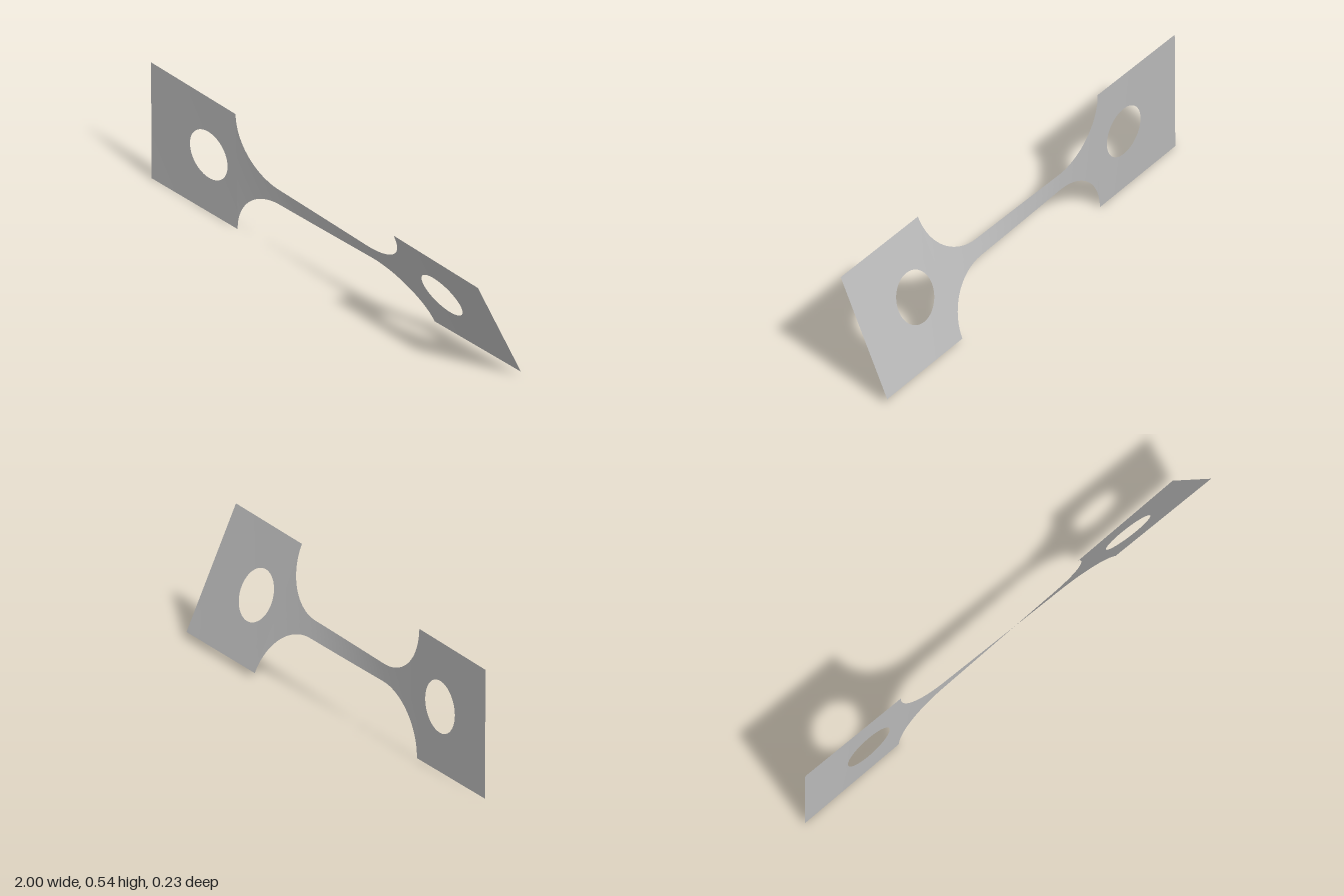
import * as THREE from 'three';
import { mergeVertices } from 'three/addons/utils/BufferGeometryUtils.js';

const CENTER_Y = 0.271;
const GRIP_HALF = 0.27, NECK_HALF = 0.036;
const FILLET_START = 0.26, FILLET_END = 0.51, FILLET_R = 0.25;
const HOLE_X = 0.67, HOLE_R = 0.108;

// Twist along the length: [x, degrees]
const TWIST = [[-1, 0.3], [-0.51, 1.2], [-0.26, 4], [0.26, 21], [0.51, 23.6], [1, 24.8]];

function twistAt(x) {
  let i = 0;
  while (i < TWIST.length - 2 && x > TWIST[i + 1][0]) i++;
  const [x0, a0] = TWIST[i], [x1, a1] = TWIST[i + 1];
  return THREE.MathUtils.degToRad(a0 + (a1 - a0) * (x - x0) / (x1 - x0));
}

// Half width of the outline: straight neck, round fillet, straight grip
function outerHalf(x) {
  const d = Math.abs(x) - FILLET_START;
  if (d <= 0) return NECK_HALF;
  if (d >= FILLET_R - 1e-6) return GRIP_HALF;
  const arc = FILLET_R - Math.sqrt(FILLET_R * FILLET_R - d * d);
  return NECK_HALF + arc * (GRIP_HALF - NECK_HALF) / FILLET_R;
}

// Half height of the round hole, zero elsewhere
function innerHalf(x) {
  const d = Math.abs(x) - HOLE_X;
  return Math.sqrt(Math.max(0, HOLE_R * HOLE_R - d * d));
}

// Twisted sheet made of an upper and a lower strip over the given x stations
function sheet(stations, rows = 6) {
  const pos = [], index = [];
  for (const side of [1, -1]) {
    const base = pos.length / 3;
    stations.forEach((x, i) => {
      const a = twistAt(x), inner = innerHalf(x), outer = outerHalf(x);
      for (let j = 0; j <= rows; j++) {
        const v = side * (inner + (outer - inner) * j / rows);
        pos.push(x, CENTER_Y + v * Math.cos(a), v * Math.sin(a));
        if (i === 0 || j === 0) continue;
        const d = base + i * (rows + 1) + j, c = d - 1;
        const b = d - rows - 1, e = b - 1;
        if (side > 0) index.push(e, c, d, e, d, b);
        else index.push(e, d, c, e, b, d);
      }
    });
  }
  const geo = new THREE.BufferGeometry();
  geo.setAttribute('position', new THREE.Float32BufferAttribute(pos, 3));
  geo.setIndex(index);
  const welded = mergeVertices(geo, 1e-5);
  welded.computeVertexNormals();
  return welded;
}

// n + 1 values between a and b, spaced by the easing function
const range = (a, b, n, ease = t => t) =>
  Array.from({ length: n + 1 }, (_, i) => a + (b - a) * ease(i / n));

export function createModel() {
  const group = new THREE.Group();
  group.name = 'twistedTestStrip';
  const steel = new THREE.MeshStandardMaterial({ color: 0xb8b8b8, side: THREE.DoubleSide });
  steel.name = 'plain grey metal';

  const add = (name, stations) => {
    const mesh = new THREE.Mesh(sheet(stations), steel);
    mesh.name = name;
    group.add(mesh);
  };

  // Stations bunch up where the fillet and the hole edges turn steep
  const cosine = t => (1 - Math.cos(Math.PI * t)) / 2;
  const sine = t => Math.sin(Math.PI * t / 2);
  const grip = [
    ...range(FILLET_END, HOLE_X - HOLE_R, 3),
    ...range(HOLE_X - HOLE_R, HOLE_X + HOLE_R, 32, cosine).slice(1),
    ...range(HOLE_X + HOLE_R, 1, 8).slice(1),
  ];
  const fillet = range(FILLET_START, FILLET_END, 24, sine);
  const mirror = xs => xs.map(x => -x).reverse();

  // Flat ends with holes, joined by the twisted waist
  add('rightGrip', mirror(grip));
  add('waist', [
    ...mirror(fillet),
    ...range(-FILLET_START, FILLET_START, 24).slice(1, -1),
    ...fillet,
  ]);
  add('leftGrip', grip);
  return group;
}
